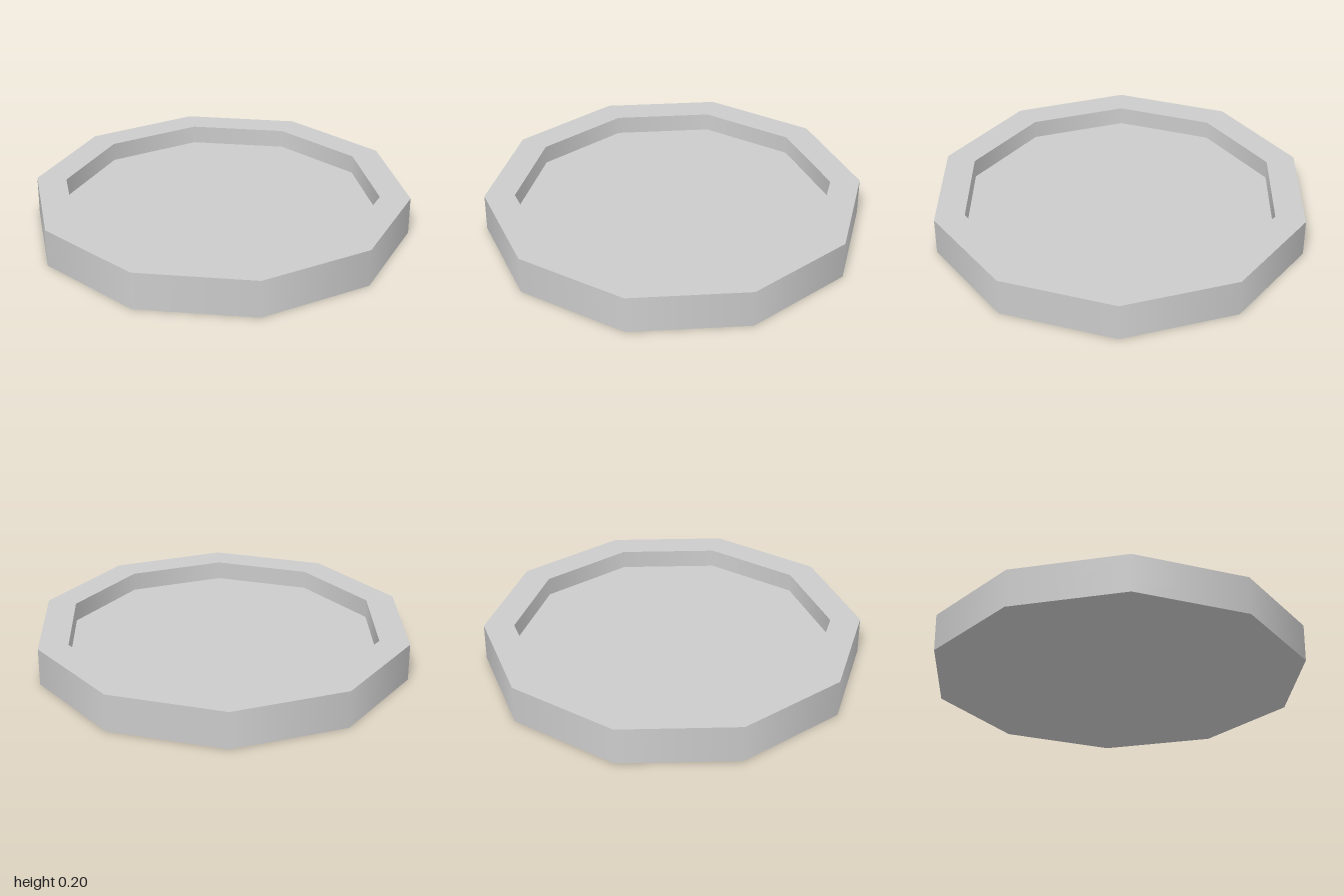
import * as THREE from 'three';

const SIDES = 10, OUTER = 1, INNER = 0.84, HEIGHT = 0.2, FLOOR = 0.1;

export function createModel() {
  const group = new THREE.Group();
  group.name = 'tray';
  const grey = new THREE.MeshStandardMaterial({ color: 0xcccccc });
  const greyInside = new THREE.MeshStandardMaterial({ color: 0xcccccc, side: THREE.BackSide });

  const add = (name, geometry, y, material = grey) => {
    const mesh = new THREE.Mesh(geometry, material);
    mesh.name = name;
    mesh.position.y = y;
    group.add(mesh);
  };
  const wall = (r, h) => new THREE.CylinderGeometry(r, r, h, SIDES, 1, true);
  // flat ten-sided faces, with a corner on the z axis like the walls
  const disc = (r, tilt) => new THREE.CircleGeometry(r, SIDES, Math.PI / 2).rotateX(tilt);

  // smooth-shaded outer and inner walls
  add('outerWall', wall(OUTER, HEIGHT), HEIGHT / 2);
  add('innerWall', wall(INNER, HEIGHT - FLOOR), (HEIGHT + FLOOR) / 2, greyInside);

  // flat rim, recessed floor and underside
  add('rim', new THREE.RingGeometry(INNER, OUTER, SIDES, 1, Math.PI / 2).rotateX(-Math.PI / 2), HEIGHT);
  add('floor', disc(INNER, -Math.PI / 2), FLOOR);
  add('underside', disc(OUTER, Math.PI / 2), 0);

  return group;
}
